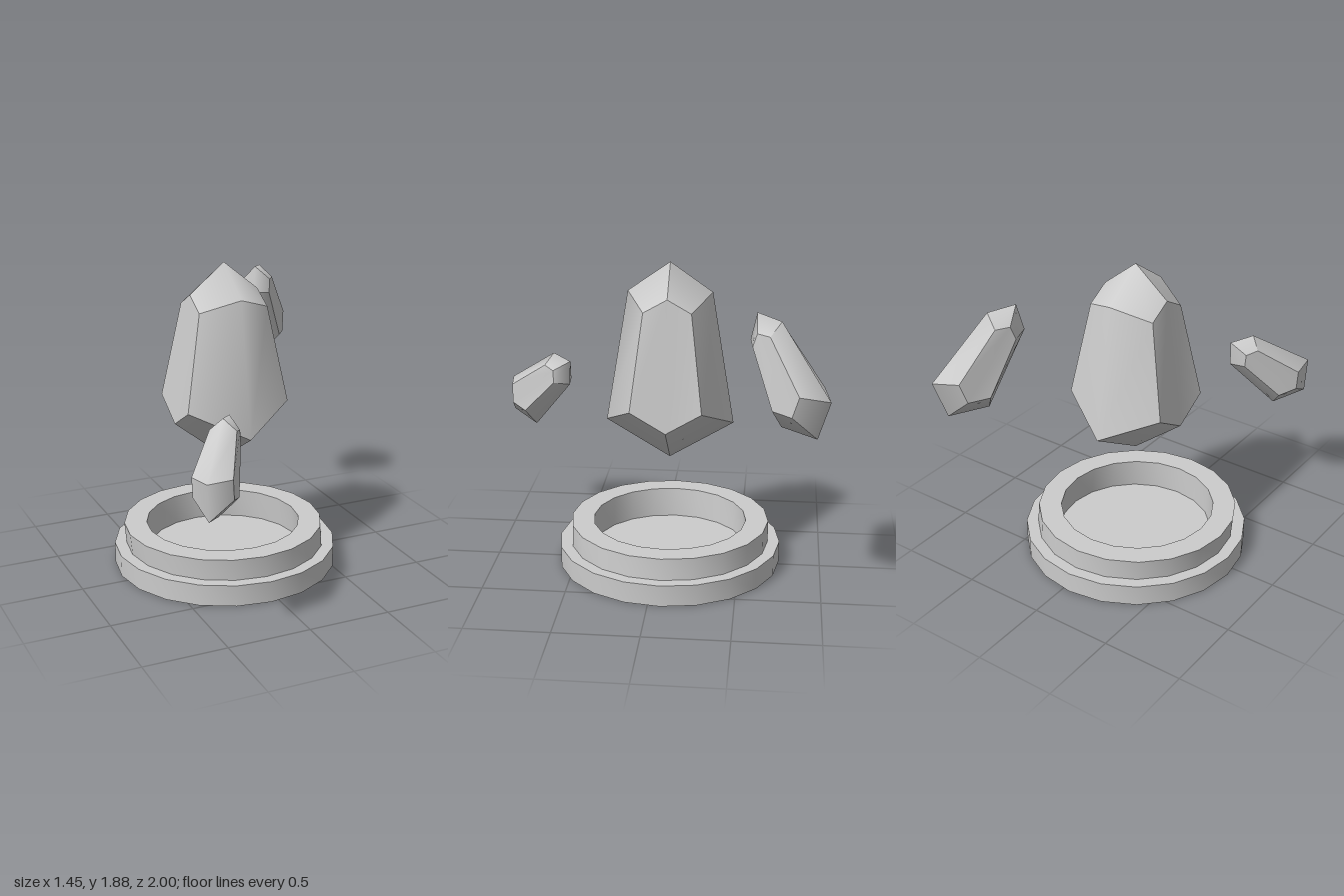
import * as THREE from 'three';
import { mergeGeometries, toCreasedNormals } from 'three/addons/utils/BufferGeometryUtils.js';

const material = new THREE.MeshStandardMaterial({ color: 0xcccccc });

// One smooth-shaded facet group; its border stays sharp
function patch(points, faces) {
  const g = new THREE.BufferGeometry();
  g.setAttribute('position', new THREE.Float32BufferAttribute(points.flat(), 3));
  g.setIndex(faces.flat());
  g.computeVertexNormals();
  return g;
}

// Panel between a lower and an upper row of three points
function panel(lower, upper) {
  return patch([...lower, ...upper], [[0, 1, 4], [0, 4, 3], [1, 2, 5], [1, 5, 4]]);
}

// Fan from a tip over a row of five points
function cap(tip, row) {
  return patch([tip, ...row], [[0, 1, 2], [0, 2, 3], [0, 3, 4], [0, 4, 5]]);
}

// Tapered six-sided crystal with pointed ends, lower tip at the origin
function crystalGeometry() {
  // half ring from left to right round the front
  const ring = (w, d, corner, cornerY, midY, frontY) => [
    [-w, midY, 0], [-w, cornerY, corner], [0, frontY, d], [w, cornerY, corner], [w, midY, 0],
  ];
  const low = ring(0.32, 0.383, 0.21, 0.38, 0.255, 0.23);
  const up = ring(0.215, 0.25, 0.14, 0.95, 1.03, 1.03);
  const back = ([x, y, z]) => [x, y, -z];
  const side = (r) => [r[3], r[4], back(r[3])];
  const half = [
    cap([0, 1.205, 0], up),
    cap([0, 0, 0], [...low].reverse()),
    panel(low.slice(1, 4), up.slice(1, 4)),
    panel(side(low), side(up)),
  ];
  // the other half is the same, turned about the long axis
  return mergeGeometries([...half, ...half.map((g) => g.clone().rotateY(Math.PI))]);
}

// Places a crystal by its lower tip and its width, length and depth axes
function crystal(name, tip, width, length, depth) {
  const v = (p) => new THREE.Vector3(...p);
  const m = new THREE.Matrix4().makeBasis(v(width), v(length), v(depth)).setPosition(...tip);
  const mesh = new THREE.Mesh(crystalGeometry().applyMatrix4(m), material);
  mesh.name = name;
  return mesh;
}

// Stepped round pedestal with a recessed socket
function pedestal() {
  const profile = [
    [0, 0], [0.68, 0], [0.68, 0.13], [0.608, 0.13],
    [0.608, 0.26], [0.47, 0.26], [0.47, 0.077], [0, 0.077],
  ].map(([r, y]) => new THREE.Vector2(r, y));
  const g = new THREE.LatheGeometry(profile, 20);
  const p = g.attributes.position;
  // the raised rim leans slightly sideways
  for (let i = 0; i < p.count; i++) {
    const x = p.getX(i), y = p.getY(i);
    if (y > 0.05 && Math.hypot(x, p.getZ(i)) < 0.65) p.setX(i, x - (y - 0.13) * 0.09);
  }
  const mesh = new THREE.Mesh(toCreasedNormals(g, 0.5), material);
  mesh.name = 'pedestal';
  mesh.position.set(-0.048, 0, -0.07);
  return mesh;
}

export function createModel() {
  const model = new THREE.Group();
  model.name = 'floatingCrystals';
  model.add(
    pedestal(),
    crystal('mainCrystal', [-0.048, 0.67, -0.07], [1, 0, 0], [0, 1, 0], [0, 0, 1]),
    crystal('backLeftShard', [0.645, 1.062, -0.936],
      [0.325, 0, 0.216], [-0.206, 0.531, 0.288], [-0.235, -0.274, 0.343]),
    crystal('frontRightShard', [-0.606, 0.755, 0.995],
      [0.282, 0.011, 0.215], [0.253, 0.35, -0.35], [-0.183, 0.352, 0.222]),
  );
  return model;
}
